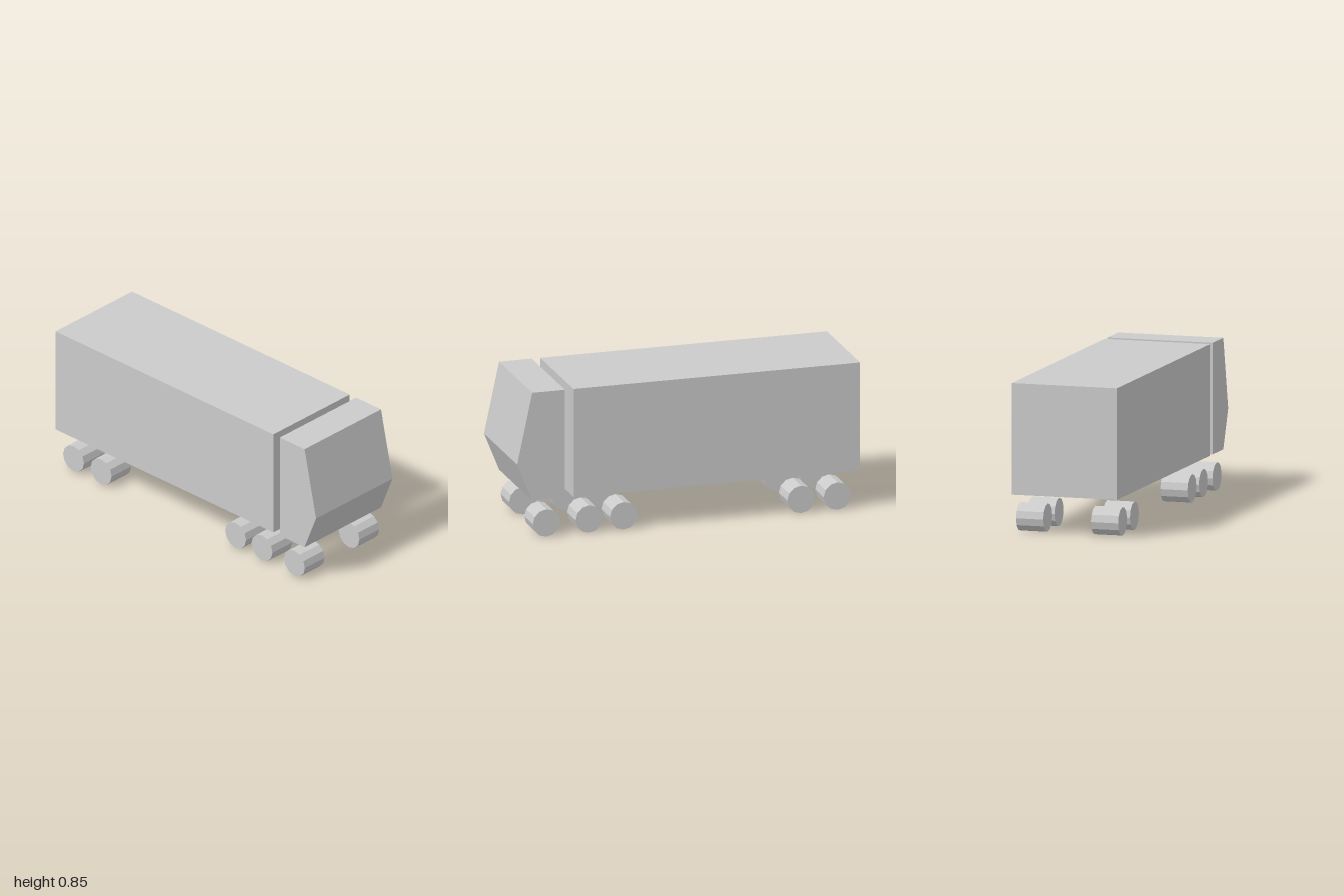
import * as THREE from 'three';

const WIDTH = 0.616, BOTTOM = 0.22, TOP = 0.848;

export function createModel() {
  const truck = new THREE.Group();
  truck.name = 'truck';
  const material = new THREE.MeshStandardMaterial({ color: 0xcccccc, flatShading: true });

  const add = (name, geometry, x, y, z) => {
    const mesh = new THREE.Mesh(geometry, material);
    mesh.name = name;
    mesh.position.set(x, y, z);
    truck.add(mesh);
  };

  // Cargo box
  const boxBack = -1, boxFront = 0.672;
  add('cargoBox', new THREE.BoxGeometry(WIDTH, TOP - BOTTOM, boxFront - boxBack),
    0, (TOP + BOTTOM) / 2, (boxFront + boxBack) / 2);

  // Cab: side profile (z, y) with a pointed nose, extruded across the width
  const profile = new THREE.Shape([
    [0.722, BOTTOM], [0.912, BOTTOM], [1, 0.438], [0.912, TOP], [0.722, TOP],
  ].map(([z, y]) => new THREE.Vector2(z, y)));
  const cab = new THREE.ExtrudeGeometry(profile, { depth: WIDTH, bevelEnabled: false });
  cab.translate(0, 0, -WIDTH / 2).rotateY(-Math.PI / 2);
  add('cab', cab, 0, 0, 0);

  // Five pairs of twelve-sided wheels
  const radius = 0.08;
  const wheel = new THREE.CylinderGeometry(radius, radius, 0.159, 12).rotateZ(Math.PI / 2);
  [0.826, 0.577, 0.374, -0.659, -0.871].forEach((z, i) => {
    for (const side of [1, -1]) {
      add(`${side > 0 ? 'left' : 'right'}Wheel${i + 1}`, wheel, side * 0.22, radius, z);
    }
  });

  return truck;
}
